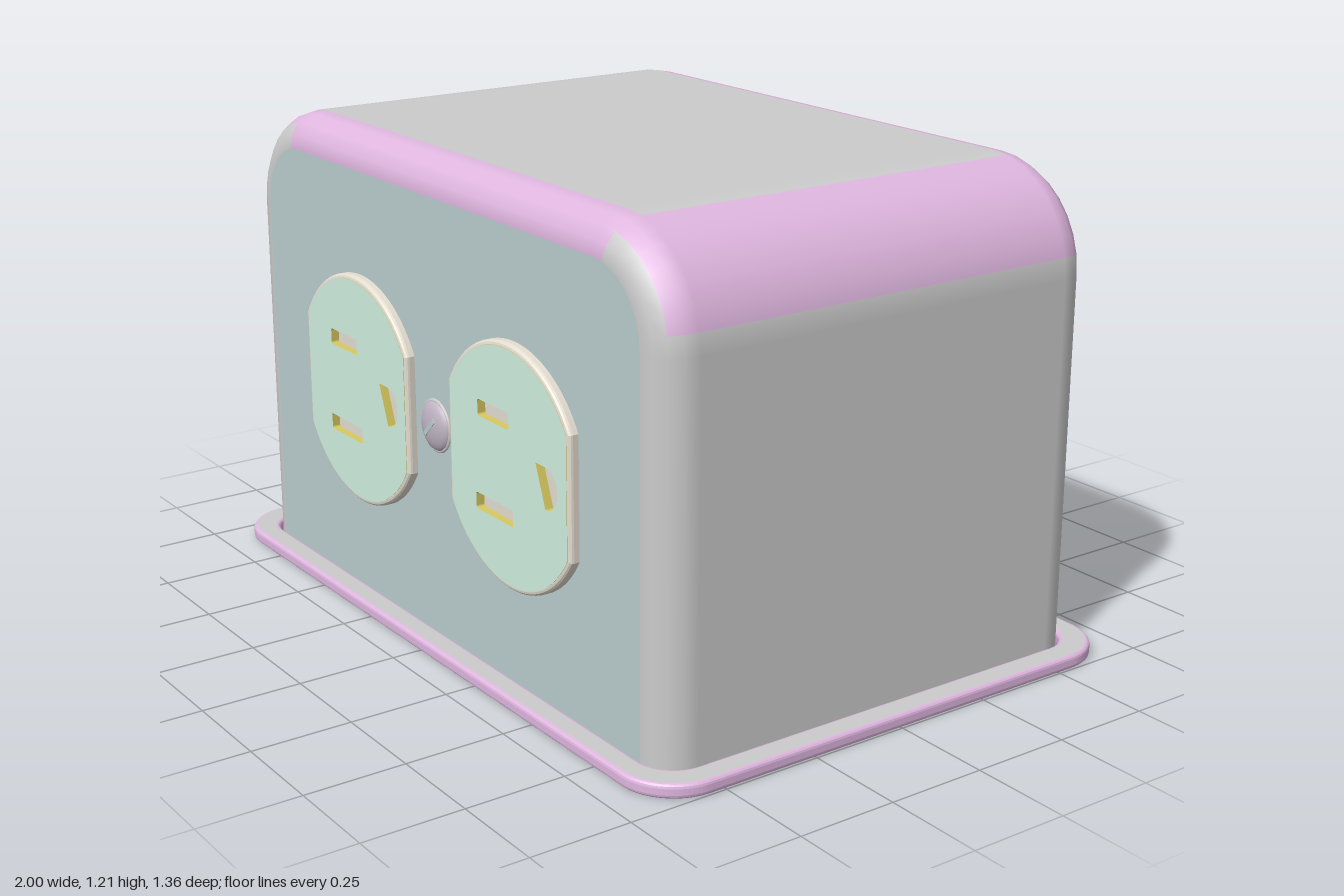
import * as THREE from 'three';

const mat = (color) => new THREE.MeshStandardMaterial({ color });
const GREY = mat(0xcccccc), LILAC = mat(0xdfb6df), TEAL = mat(0xb9cccc);
const MINT = mat(0xcfeedf), CREAM = mat(0xe4ddd0), YELLOW = mat(0xd8c860);

function add(parent, name, geometry, material, x = 0, y = 0, z = 0) {
  const mesh = new THREE.Mesh(geometry, material);
  mesh.name = name;
  mesh.position.set(x, y, z);
  parent.add(mesh);
  return mesh;
}

// Rectangle with rounded corners, half sizes w and h, centred on (cx, cy)
function roundRect(w, h, r, cx = 0, cy = 0) {
  const s = new THREE.Shape();
  s.absarc(cx + w - r, cy + h - r, r, 0, Math.PI / 2);
  s.absarc(cx - w + r, cy + h - r, r, Math.PI / 2, Math.PI);
  s.absarc(cx - w + r, cy - h + r, r, Math.PI, Math.PI * 1.5);
  s.absarc(cx + w - r, cy - h + r, r, Math.PI * 1.5, Math.PI * 2);
  s.closePath();
  return s;
}

// Housing: arched front profile swept along z, with rounded front and back edges
function housing() {
  const g = new THREE.Group();
  g.name = 'housing';
  const W = 0.925, H = 1.21, D = 0.61, R = 0.26, r = 0.09, arcSteps = 8, edgeSteps = 4;
  const core = [[W - r, 0, 0]]; // x, y, angle of the outward normal
  for (const side of [1, -1]) {
    for (let i = 0; i <= arcSteps; i++) {
      const a = (i / arcSteps) * Math.PI / 2 + (side < 0 ? Math.PI / 2 : 0);
      core.push([side * (W - R) + (R - r) * Math.cos(a), H - R + (R - r) * Math.sin(a), a]);
    }
  }
  core.push([-W + r, 0, Math.PI]);
  const edge = []; // z of the rounding centre, tilt of the normal
  for (const side of [-1, 1]) {
    for (let i = 0; i <= edgeSteps; i++) {
      const t = (side < 0 ? i - edgeSteps : i) / edgeSteps * Math.PI / 2;
      edge.push([side * (D - r), t]);
    }
  }
  const pos = [], nor = [], greyFaces = [], lilacFaces = [], m = edge.length;
  for (const [x, y, a] of core) {
    for (const [z, t] of edge) {
      const n = [Math.cos(t) * Math.cos(a), Math.cos(t) * Math.sin(a), Math.sin(t)];
      nor.push(...n);
      pos.push(x + r * n[0], y + r * n[1], z + r * n[2]);
    }
  }
  const topCell = arcSteps + 1;
  for (let i = 0; i < core.length - 1; i++) {
    for (let j = 0; j < m - 1; j++) {
      // Lilac: the side arcs, and the front and back edges of the top
      const fromTop = Math.abs(i - topCell);
      const onTop = fromTop <= 1 && j !== edgeSteps;
      const onArc = fromTop > 1 && fromTop < arcSteps && j >= 2 && j <= m - 4;
      const a = i * m + j, b = a + m;
      (onTop || onArc ? lilacFaces : greyFaces).push(a, b, b + 1, a, b + 1, a + 1);
    }
  }
  for (const [name, faces, material] of [['housingShell', greyFaces, GREY], ['housingRoundedEdges', lilacFaces, LILAC]]) {
    const geo = new THREE.BufferGeometry();
    geo.setAttribute('position', new THREE.Float32BufferAttribute(pos, 3));
    geo.setAttribute('normal', new THREE.Float32BufferAttribute(nor, 3));
    geo.setIndex(faces);
    add(g, name, geo, material);
  }
  // Flat front and back walls
  const wall = new THREE.ShapeGeometry(new THREE.Shape(core.map(([x, y]) => new THREE.Vector2(x, y))));
  add(g, 'frontWall', wall, TEAL, 0, 0, D);
  add(g, 'backWall', wall, GREY, 0, 0, -D).rotation.y = Math.PI;
  return g;
}

// Foot flange around the bottom plate, with a fine groove between them
function base() {
  const g = new THREE.Group();
  g.name = 'base';
  const rim = roundRect(1, 0.68, 0.14);
  rim.holes.push(roundRect(0.93, 0.615, 0.09));
  const b = 0.01;
  const flange = new THREE.ExtrudeGeometry(rim, {
    depth: 0.035 - 2 * b, bevelThickness: b, bevelSize: b, bevelOffset: -b, bevelSegments: 3, curveSegments: 10,
  });
  add(g, 'flange', flange, [GREY, LILAC], 0, b, 0).rotation.x = -Math.PI / 2;
  const plate = new THREE.ExtrudeGeometry(roundRect(0.915, 0.6, 0.085), { depth: 0.02, bevelEnabled: false });
  add(g, 'bottomPlate', plate, GREY, 0, 0.002, 0).rotation.x = -Math.PI / 2;
  return g;
}

// Circle with flattened left and right sides
function outletOutline(inset) {
  const r = 0.295 - inset, a = Math.acos((0.255 - inset) / r);
  const s = new THREE.Shape();
  s.absarc(0, 0, r, a, Math.PI - a);
  s.absarc(0, 0, r, Math.PI + a, 2 * Math.PI - a);
  s.closePath();
  return s;
}

function outlet(x) {
  const g = new THREE.Group();
  g.name = 'outlet';
  g.position.set(x, 0.565, 0.61);
  // Rounded rim
  const ring = outletOutline(0), b = 0.01;
  ring.holes.push(outletOutline(0.025));
  add(g, 'outletRim', new THREE.ExtrudeGeometry(ring, {
    depth: 0.014, bevelThickness: b, bevelSize: b, bevelOffset: -b, bevelSegments: 3, curveSegments: 24,
  }), CREAM, 0, 0, 0);
  // Face with two blade slots and a D-shaped ground hole
  const ground = new THREE.Shape();
  ground.moveTo(0.12, -0.05);
  ground.absarc(0.158, 0, 0.05, -Math.PI / 2, Math.PI / 2);
  ground.lineTo(0.12, 0.05);
  ground.closePath();
  const face = outletOutline(0.012);
  face.holes.push(
    roundRect(0.066, 0.02, 0.006, -0.056, 0.114),
    roundRect(0.079, 0.02, 0.006, -0.056, -0.115),
    ground,
  );
  add(g, 'outletFace', new THREE.ExtrudeGeometry(face, {
    depth: 0.023, bevelEnabled: false, curveSegments: 24,
  }), [MINT, YELLOW], 0, 0, 0.002);
  add(g, 'slotFloor', new THREE.ShapeGeometry(outletOutline(0.02), 24), CREAM, 0, 0, 0.004);
  return g;
}

// Domed screw with a diagonal slot mark
function screw() {
  const g = new THREE.Group();
  g.name = 'screw';
  g.position.set(0, 0.565, 0.61);
  const dome = new THREE.SphereGeometry(0.062, 28, 8, 0, Math.PI * 2, 0, Math.PI / 2);
  dome.rotateX(Math.PI / 2).scale(1, 1, 0.36);
  add(g, 'screwHead', dome, mat(0xbfb4c4));
  add(g, 'screwCollar', new THREE.TorusGeometry(0.062, 0.005, 8, 32), GREY);
  add(g, 'screwSlot', new THREE.BoxGeometry(0.06, 0.012, 0.008), TEAL, 0, 0, 0.019).rotation.z = Math.PI / 4;
  return g;
}

export function createModel() {
  const model = new THREE.Group();
  model.name = 'outletBox';
  model.add(housing(), base(), outlet(-0.352), outlet(0.352), screw());
  return model;
}
